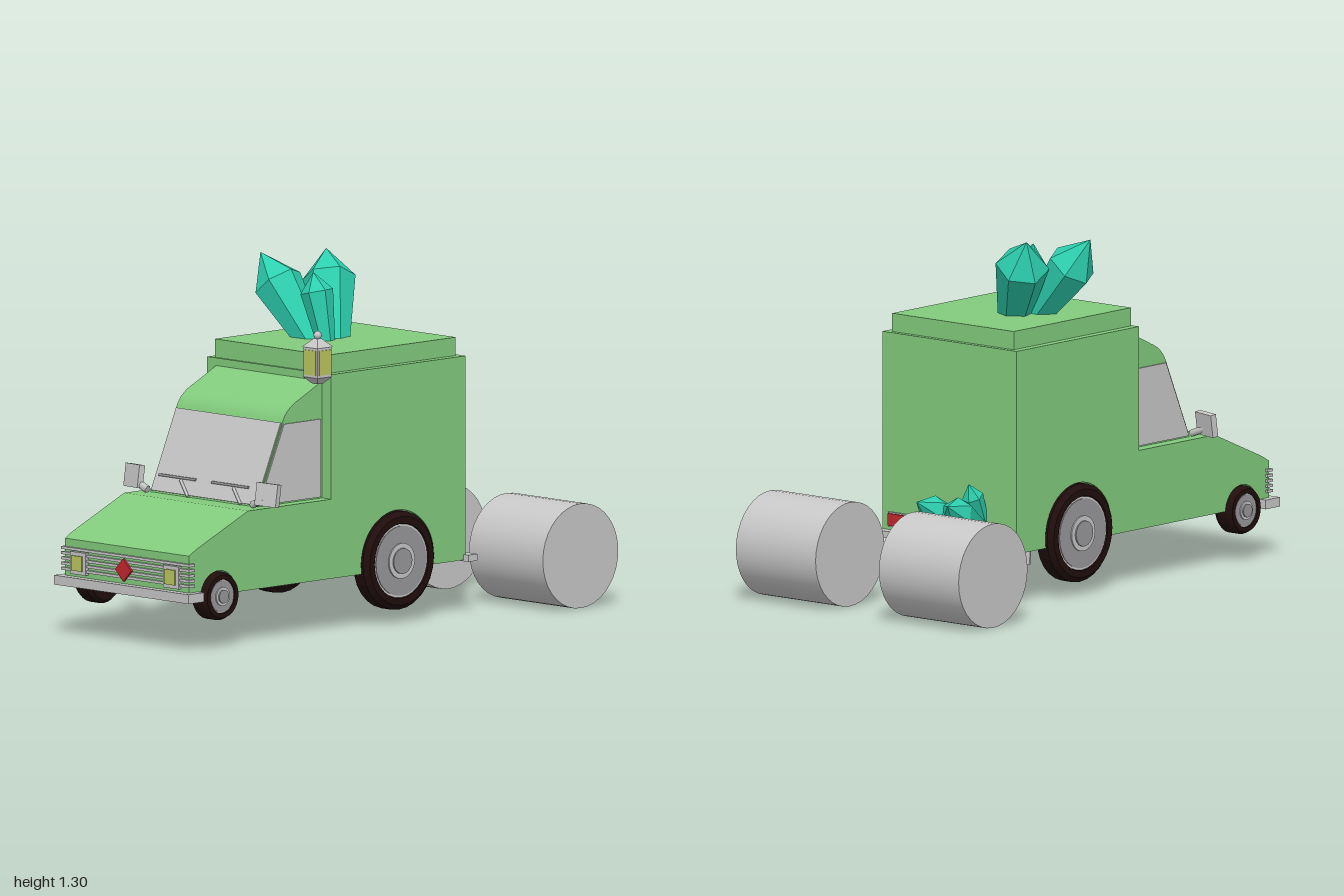
import * as THREE from 'three';

const mat = (name, color) => {
  const m = new THREE.MeshStandardMaterial({ color });
  m.name = name;
  return m;
};

export function createModel() {
  const root = new THREE.Group();
  root.name = 'camperVan';
  const green = mat('green paint', 0x82cc7d);
  const grey = mat('light grey', 0xc8c8c8);
  const rimGrey = mat('rim grey', 0x98989c);
  const rubber = mat('rubber', 0x200e0d);
  const yellow = mat('lamp yellow', 0xbcc75d);
  const red = mat('red', 0xc4262e);
  const teal = mat('crystal teal', 0x2dd0af);

  const add = (name, geo, material, x = 0, y = 0, z = 0, parent = root) => {
    const m = new THREE.Mesh(geo, material);
    m.name = name;
    m.position.set(x, y, z);
    parent.add(m);
    return m;
  };
  const box = (name, w, h, d, material, x, y, z, parent) =>
    add(name, new THREE.BoxGeometry(w, h, d), material, x, y, z, parent);
  // Side profile drawn in (z, y), extruded across x
  const across = (shape, x0, x1) =>
    new THREE.ExtrudeGeometry(shape, { depth: x1 - x0, bevelEnabled: false, curveSegments: 20 })
      .translate(0, 0, -x1).rotateY(-Math.PI / 2);
  const poly = pts => new THREE.Shape(pts.map(p => new THREE.Vector2(...p)));
  // Round bar between two points
  const rod = (name, a, b, r, material) => {
    const va = new THREE.Vector3(...a), vb = new THREE.Vector3(...b), d = vb.clone().sub(va);
    const m = add(name, new THREE.CylinderGeometry(r, r, d.length(), 6), material);
    m.position.copy(va).lerp(vb, 0.5);
    m.quaternion.setFromUnitVectors(new THREE.Vector3(0, 1, 0), d.normalize());
    return m;
  };

  // Body: a full core, and side panels cut out around the wheels
  const wheels = [
    { name: 'rear', z: -0.086, y: 0.228, r: 0.18, rim: 0.137, hub: 0.065 },
    { name: 'front', z: 0.82, y: 0.19, r: 0.088, rim: 0.062, hub: 0.034 },
  ];
  const upper = [[0.97, 0.195], [0.97, 0.35], [0.935, 0.37], [0.67, 0.485], [0.25, 0.485],
    [0.25, 0.94], [-0.43, 0.94], [-0.43, 0.195]];
  add('bodyCore', across(poly(upper), -0.25, 0.25), green);
  const panel = new THREE.Shape();
  upper.forEach(([z, y], i) => (i ? panel.lineTo(z, y) : panel.moveTo(z, y)));
  for (const w of wheels) {
    const R = w.r + 0.004, a = Math.asin((0.195 - w.y) / R);
    panel.lineTo(w.z - R * Math.cos(a), 0.195);
    panel.absarc(w.z, w.y, R, Math.PI - a, a, true);
  }
  add('leftBodySide', across(panel, 0.25, 0.32), green);
  add('rightBodySide', across(panel, -0.32, -0.25), green);
  box('roofSlab', 0.58, 0.07, 0.65, green, 0, 0.972, -0.085);

  // Cab with a rounded roof edge
  const cab = new THREE.Shape();
  cab.moveTo(0.25, 0.48);
  cab.lineTo(0.585, 0.48);
  cab.lineTo(0.45, 0.785);
  cab.quadraticCurveTo(0.43, 0.83, 0.37, 0.855);
  cab.lineTo(0.25, 0.912);
  add('cab', across(cab, -0.274, 0.274), green);

  // Windows
  const pane = poly([[0.26, 0.49], [0.575, 0.49], [0.448, 0.775], [0.26, 0.775]]);
  for (const s of [-1, 1])
    add('sideWindow', across(pane, s * 0.276 - 0.003, s * 0.276 + 0.003), grey);
  const slope = Math.atan2(0.135, 0.305);
  const screen = box('windscreen', 0.54, 0.315, 0.006, grey, 0, 0.635, 0.518);
  screen.rotation.x = -slope;

  // Wipers
  const onScreen = (x, y) => [x, y, 0.592 - (y - 0.48) * 0.443];
  for (const x of [-0.155, 0.117]) {
    rod('wiperBlade', onScreen(x - 0.095, 0.548), onScreen(x + 0.095, 0.548), 0.005, rimGrey);
    rod('wiperArm', onScreen(x + 0.02, 0.54), onScreen(x + 0.08, 0.488), 0.006, grey);
  }

  // Wheels
  const sideways = g => g.rotateZ(-Math.PI / 2);
  const wheel = (w, s) => {
    const g = new THREE.Group();
    g.name = w.name + 'Wheel';
    g.position.set(0, w.y, w.z);
    const profile = [[0, 0.258], [w.r * 0.86, 0.258], [w.r, 0.275], [w.r, 0.325],
      [w.r * 0.9, 0.342], [w.rim, 0.342], [w.rim * 0.97, 0.33]];
    const tyre = new THREE.LatheGeometry(profile.map(p => new THREE.Vector2(...p)), 28).toNonIndexed();
    tyre.computeVertexNormals();
    add('tyre', sideways(tyre), rubber, 0, 0, 0, g);
    const disc = (name, r, x, m) =>
      add(name, sideways(new THREE.CylinderGeometry(r, r, 0.03, 28)), m, x - 0.015, 0, 0, g);
    disc('rim', w.rim, 0.336, grey);
    disc('rimFace', w.rim * 0.93, 0.339, rimGrey);
    disc('hub', w.hub, 0.344, grey);
    disc('hubCap', w.hub * 0.72, 0.349, rimGrey);
    if (s < 0) g.rotation.y = Math.PI;
    // keep the turned wheel on the same axle
    root.add(g);
  };
  for (const w of wheels) for (const s of [1, -1]) wheel(w, s);

  // Nose: grille, lamps, badge and bumper
  for (let i = 0; i < 5; i++)
    box('grilleBar', 0.66, 0.01, 0.03, grey, 0, 0.24 + i * 0.019, 0.965);
  const diamond = box('redDiamond', 0.06, 0.06, 0.008, red, 0, 0.268, 0.986);
  diamond.rotation.z = Math.PI / 4;
  box('frontBumper', 0.695, 0.034, 0.08, grey, 0, 0.198, 0.96);

  // Tail: bumper and number plate blank
  box('rearBumper', 0.69, 0.025, 0.045, grey, 0, 0.203, -0.443);
  box('rearPlate', 0.135, 0.06, 0.008, grey, 0, 0.17, -0.459);

  // Paired details
  for (const s of [-1, 1]) {
    box('headlampFrame', 0.08, 0.082, 0.03, grey, s * 0.24, 0.267, 0.97);
    box('headlamp', 0.053, 0.055, 0.008, yellow, s * 0.24, 0.267, 0.987);
    box('tailLampFrame', 0.094, 0.054, 0.012, grey, s * 0.24, 0.255, -0.432);
    box('tailLamp', 0.085, 0.045, 0.008, red, s * 0.24, 0.255, -0.44);
    box('mudFlap', 0.1, 0.075, 0.006, grey, s * 0.205, 0.165, -0.277).rotation.x = 0.12;
    const mirror = box('wingMirror', 0.092, 0.084, 0.024, grey, s * 0.345, 0.538, 0.595);
    mirror.rotation.set(-0.15, s * 0.2, 0);
    rod('mirrorBracket', [s * 0.27, 0.495, 0.6], [s * 0.335, 0.52, 0.6], 0.014, grey);
  }

  // Rear rollers
  for (const x of [-0.344, 0.338])
    add('roller', sideways(new THREE.CylinderGeometry(0.191, 0.191, 0.38, 36)), grey, x, 0.192, -0.809);

  // Lantern on an arm
  rod('lanternArm', [0.272, 0.935, 0.23], [0.368, 1.08, 0.365], 0.01, grey);
  const lantern = new THREE.Group();
  lantern.name = 'lantern';
  lantern.position.set(0.372, 0, 0.37);
  root.add(lantern);
  const tapered = (name, top, bottom, h, y) => {
    const g = new THREE.CylinderGeometry(top * Math.SQRT2, bottom * Math.SQRT2, h, 4)
      .rotateY(Math.PI / 4).toNonIndexed();
    g.computeVertexNormals();
    add(name, g, grey, 0, y, 0, lantern);
  };
  tapered('lanternFrame', 0.036, 0.036, 0.11, 1.005);
  tapered('lanternRoof', 0.01, 0.04, 0.03, 1.075);
  tapered('lanternBase', 0.038, 0.014, 0.025, 0.938);
  add('lanternKnob', new THREE.SphereGeometry(0.015, 10, 8), grey, 0, 1.102, 0, lantern);
  box('lanternPaneFrontBack', 0.058, 0.09, 0.078, yellow, 0, 1.005, 0, lantern);
  box('lanternPaneSides', 0.078, 0.09, 0.058, yellow, 0, 1.005, 0, lantern);

  // Crystals: six-sided, widening to a shoulder and then pointed
  const crystal = (base, tip, r0, r1, shoulder, spin) => {
    const a = new THREE.Vector3(...base), d = new THREE.Vector3(...tip).sub(a), h = d.length();
    const pts = [[r0, 0], [r1, h * shoulder], [0, h]].map(p => new THREE.Vector2(...p));
    const g = new THREE.LatheGeometry(pts, 6).rotateY(spin).toNonIndexed();
    g.computeVertexNormals();
    const m = add('crystal', g, teal, ...base);
    m.quaternion.setFromUnitVectors(new THREE.Vector3(0, 1, 0), d.normalize());
  };
  crystal([-0.06, 0.97, -0.04], [-0.32, 1.295, -0.02], 0.05, 0.092, 0.68, 0.5);
  crystal([-0.02, 0.97, -0.1], [-0.2, 1.3, -0.235], 0.055, 0.098, 0.7, 0.2);
  crystal([0.015, 0.97, -0.03], [-0.048, 1.25, -0.02], 0.03, 0.06, 0.75, 0.3);
  crystal([-0.13, 0.25, -0.41], [-0.24, 0.4, -0.72], 0.04, 0.062, 0.72, 0.4);
  crystal([-0.1, 0.25, -0.41], [-0.092, 0.4, -0.72], 0.04, 0.056, 0.72, 0.1);
  crystal([-0.15, 0.25, -0.41], [-0.16, 0.445, -0.51], 0.025, 0.04, 0.75, 0.3);
  return root;
}
